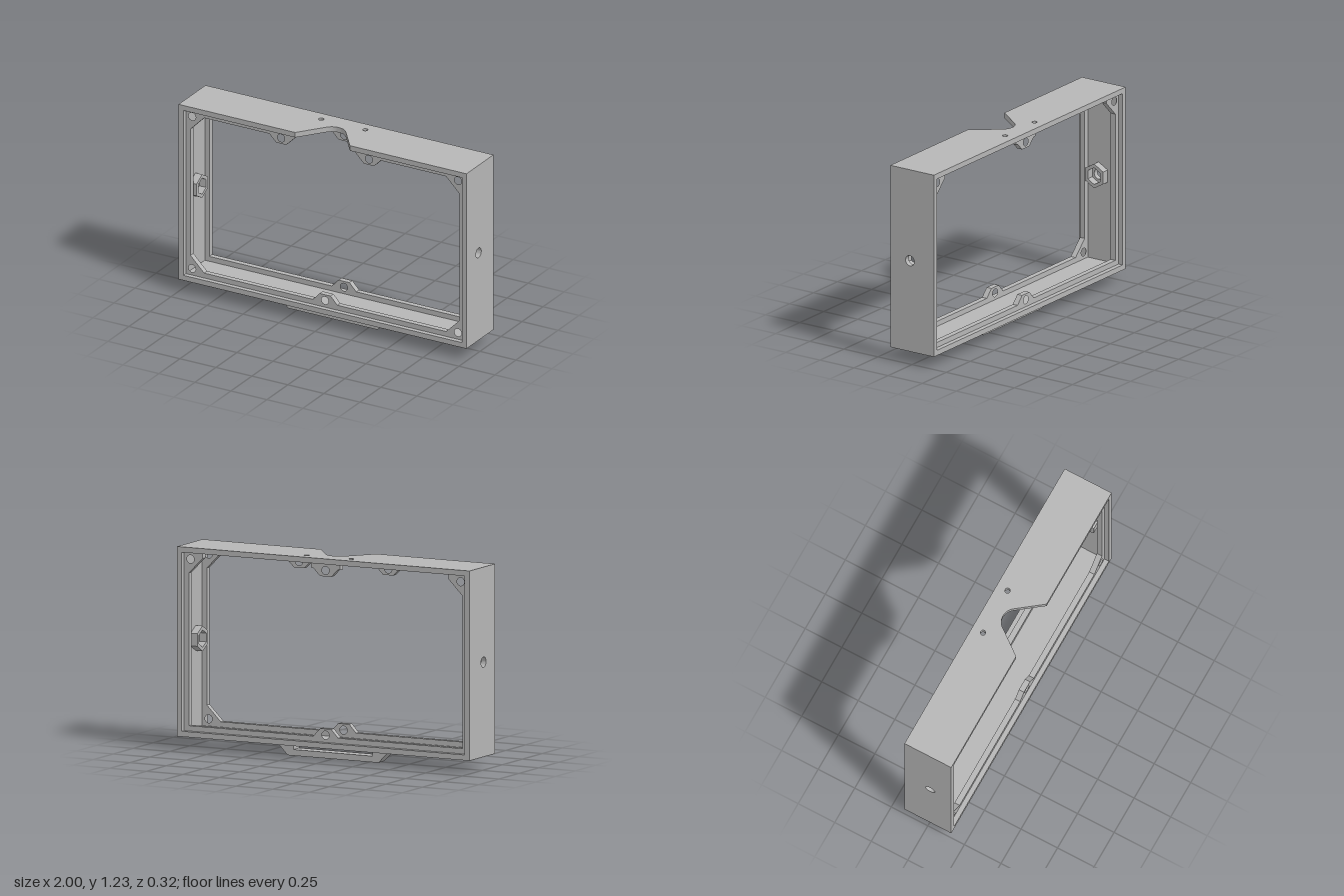
import * as THREE from 'three';
import { toCreasedNormals } from 'three/addons/utils/BufferGeometryUtils.js';

// Frame limits: outer box, inner face of the walls
const BOTTOM = 0.08, TOP = 1.232, DEPTH = 0.16, WALL = 0.033;
const IN_X = 1 - WALL, IN_LOW = BOTTOM + WALL, IN_HIGH = TOP - WALL;
const FLANGE = 0.035; // flange thickness
const HOLE_Y = 0.655, HOLE_Z = 0.016;

const v = ([x, y]) => new THREE.Vector2(x, y);
const mirror = (pts) => pts.map(([x, y]) => [-x, y]);
const shapeOf = (pts) => new THREE.Shape(pts.map(v));

function addHole(shape, x, y, r) {
  shape.holes.push(new THREE.Path().absarc(x, y, r, 0, Math.PI * 2, true));
  return shape;
}

function extrude(shape, depth) {
  const geo = new THREE.ExtrudeGeometry(shape, { depth, bevelEnabled: false, curveSegments: 16 });
  return toCreasedNormals(geo, 0.6);
}

// Symmetric open ring: outer and inner edges both run from top to bottom of the +x half
function ringShape(outer, inner) {
  return shapeOf([...outer, ...mirror(outer).reverse(), ...mirror(inner), ...inner.slice().reverse()]);
}

function hexagon(r) {
  return Array.from({ length: 6 }, (_, i) => {
    const a = Math.PI / 2 + (i * Math.PI) / 3;
    return [-HOLE_Z + r * Math.cos(a), HOLE_Y + r * Math.sin(a)];
  });
}

export function createModel() {
  const group = new THREE.Group();
  const grey = new THREE.MeshStandardMaterial({ color: 0xb6b6b6 });
  grey.name = 'grey plastic';

  const add = (name, geo, x = 0, y = 0, z = 0) => {
    const mesh = new THREE.Mesh(geo, grey);
    mesh.name = name;
    mesh.position.set(x, y, z);
    group.add(mesh);
  };

  // Bottom wall
  add('bottomWall', new THREE.BoxGeometry(2, WALL, DEPTH * 2), 0, BOTTOM + WALL / 2, 0);

  // Top wall with a rounded notch in the front edge and two small holes
  const top = new THREE.Shape();
  top.moveTo(-1, -DEPTH);
  top.lineTo(1, -DEPTH);
  top.lineTo(1, DEPTH);
  top.lineTo(0.19, DEPTH);
  top.lineTo(0.068, 0);
  top.bezierCurveTo(0.035, -0.045, -0.035, -0.045, -0.068, 0);
  top.lineTo(-0.19, DEPTH);
  top.lineTo(-1, DEPTH);
  for (const x of [-0.153, 0.153]) addHole(top, x, -0.087, 0.016);
  add('topWall', extrude(top, WALL).rotateX(Math.PI / 2), 0, TOP, 0);

  // Side walls with a round hole, each backed by a hexagonal nut holder
  const side = addHole(shapeOf([
    [-DEPTH, IN_LOW], [DEPTH, IN_LOW], [DEPTH, IN_HIGH], [-DEPTH, IN_HIGH],
  ]), -HOLE_Z, HOLE_Y, 0.032);
  const holder = shapeOf(hexagon(0.077));
  holder.holes.push(new THREE.Path(hexagon(0.053).reverse().map(v)));
  const holderDepth = 0.047;
  for (const s of [-1, 1]) {
    const label = s > 0 ? 'left' : 'right';
    add(label + 'Wall', extrude(side, WALL).rotateY(Math.PI / 2), s > 0 ? IN_X : -1);
    add(label + 'NutHolder', extrude(holder, holderDepth).rotateY(Math.PI / 2),
      s > 0 ? IN_X - holderDepth : -IN_X);
  }

  // Front flange, open at the notch, with screw tabs
  const bottomTab = [[0.085, 0.145], [0.038, 0.195]];
  const front = ringShape(
    [[0.19, IN_HIGH], [IN_X, IN_HIGH], [IN_X, IN_LOW]],
    [[0.27, 1.12], [0.34, 1.12], [0.387, 1.167], [0.84, 1.167], [0.935, 1.072],
      [0.935, 0.24], [0.84, 0.145], ...bottomTab],
  );
  for (const s of [-1, 1]) {
    addHole(front, s * 0.305, 1.157, 0.025);
    addHole(front, s * 0.923, 1.157, 0.025);
    addHole(front, s * 0.923, 0.157, 0.025);
  }
  addHole(front, 0, 0.157, 0.025);
  add('frontFlange', extrude(front, FLANGE), 0, 0, 0.095);

  // Back flange along the sides and bottom, with top corner tabs
  const back = ringShape(
    [[0.84, IN_HIGH], [IN_X, IN_HIGH], [IN_X, IN_LOW]],
    [[0.84, 1.167], [0.935, 1.072], [0.935, 0.145], ...bottomTab],
  );
  for (const s of [-1, 1]) addHole(back, s * 0.923, 1.157, 0.025);
  addHole(back, 0, 0.157, 0.025);
  add('backFlange', extrude(back, FLANGE), 0, 0, -0.13);

  // Single screw tab hanging from the top wall at the back
  const tabHalf = [[0.1, IN_HIGH], [0.1, 1.167], [0.085, 1.167], [0.038, 1.12]];
  const tab = addHole(shapeOf([...tabHalf, ...mirror(tabHalf).reverse()]), 0, 1.157, 0.025);
  add('backTopTab', extrude(tab, FLANGE), 0, 0, -0.13);

  // Slotted foot bracket below the frame
  const foot = ringShape(
    [[0.27, BOTTOM], [0.39, BOTTOM], [0.31, 0]],
    [[0.27, 0.037]],
  );
  add('footBracket', extrude(foot, 0.076), 0, 0, -0.037);

  return group;
}
